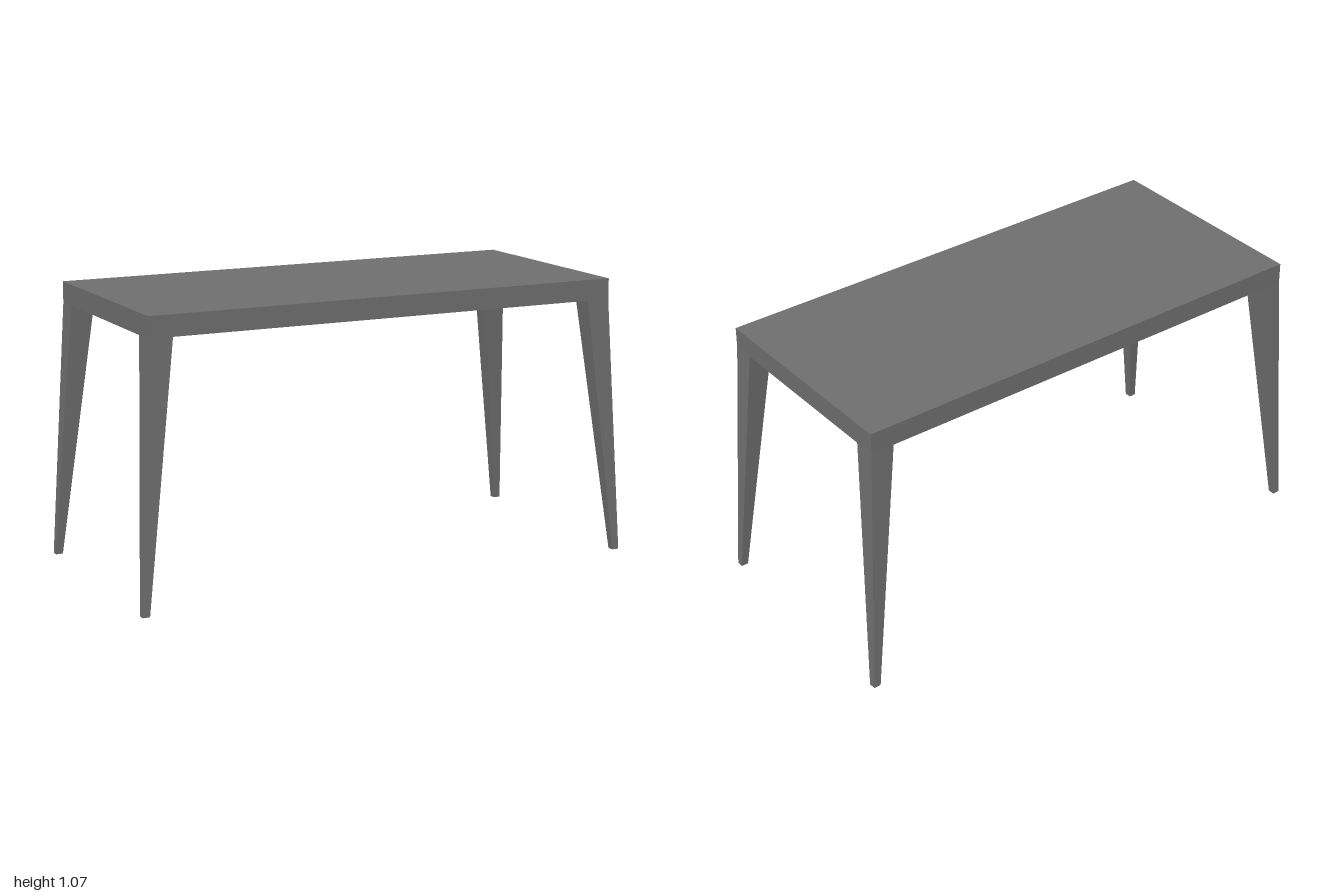
import * as THREE from 'three';

const H = 1.07, UNDER = 0.99; // top and underside of the slab
const TOP = { x: 0.945, z: 0.433 }; // half size of the slab

// Box whose lower and upper ends are set as [x0, x1, z0, z1] rectangles
function taperedBox(y0, y1, low, high) {
  const geo = new THREE.BoxGeometry(1, 1, 1).toNonIndexed();
  const p = geo.attributes.position;
  for (let i = 0; i < p.count; i++) {
    const up = p.getY(i) > 0;
    const r = up ? high : low;
    p.setXYZ(i, p.getX(i) > 0 ? r[1] : r[0], up ? y1 : y0, p.getZ(i) > 0 ? r[3] : r[2]);
  }
  geo.computeVertexNormals();
  return geo;
}

export function createModel() {
  const group = new THREE.Group();
  group.name = 'table';
  const material = new THREE.MeshStandardMaterial({ color: 0x6f6f6f, flatShading: true });
  const add = (name, geo) => {
    const mesh = new THREE.Mesh(geo, material);
    mesh.name = name;
    group.add(mesh);
    return mesh;
  };

  // Straight-sided slab
  add('tableTop', new THREE.BoxGeometry(2 * TOP.x, H - UNDER, 2 * TOP.z))
    .position.y = (H + UNDER) / 2;

  // Four splayed legs, tapering to small square feet
  const span = (s, inner, out) => (s > 0 ? [inner, out] : [-out, -inner]);
  for (const sx of [-1, 1]) {
    for (const sz of [-1, 1]) {
      const low = [...span(sx, 0.972, 1), ...span(sz, 0.441, 0.468)];
      const high = [...span(sx, 0.853, TOP.x), ...span(sz, 0.347, TOP.z)];
      const name = (sz > 0 ? 'front' : 'back') + (sx > 0 ? 'Left' : 'Right') + 'Leg';
      add(name, taperedBox(0, UNDER, low, high));
    }
  }
  return group;
}
